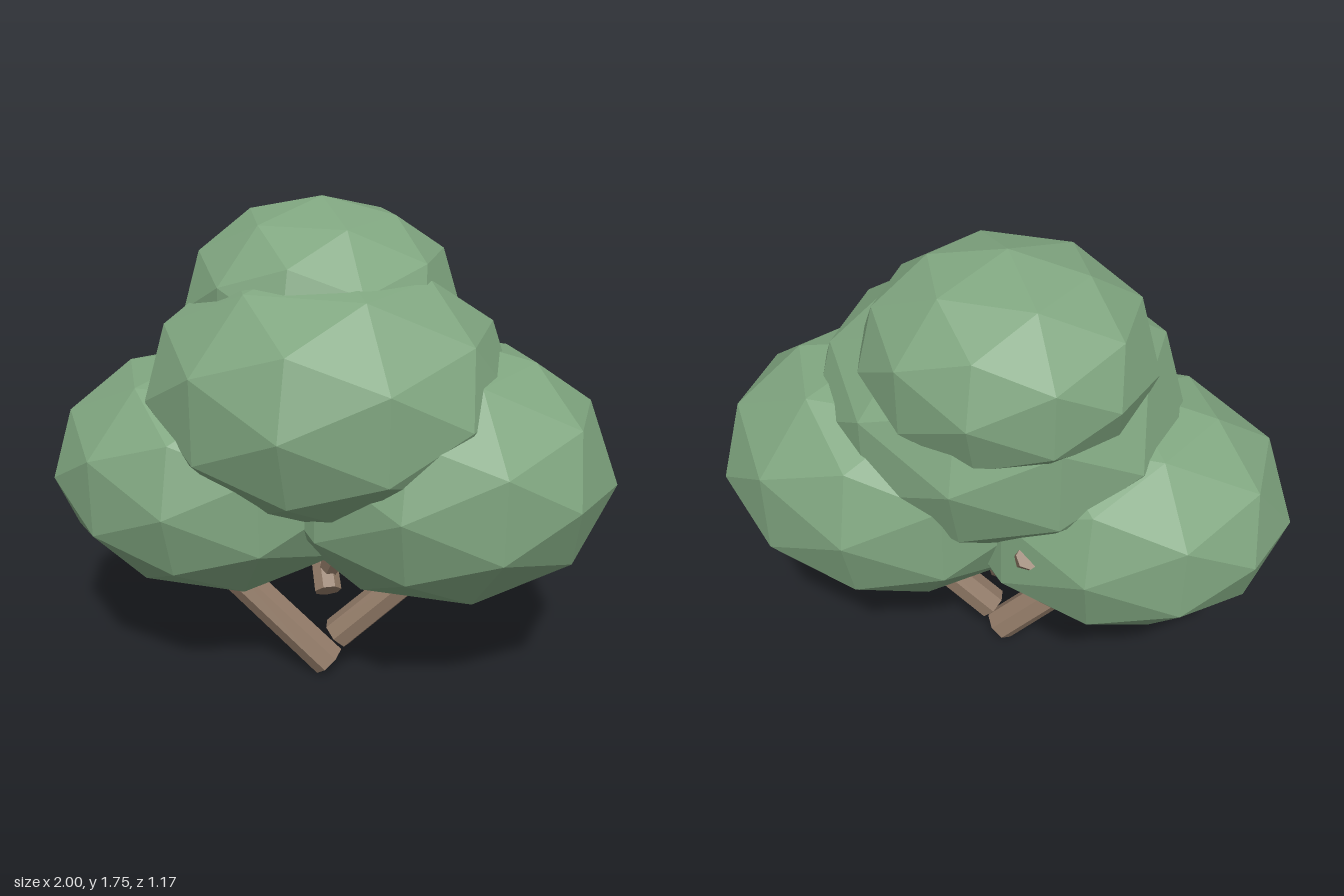
import * as THREE from 'three';

const foliageMat = new THREE.MeshStandardMaterial({ color: 0x80a680, flatShading: true });
foliageMat.name = 'leaf green';
const barkMat = new THREE.MeshStandardMaterial({ color: 0x917a67, flatShading: true });
barkMat.name = 'bark brown';

// Faceted ellipsoid of leaves
function foliage(name, centre, radii) {
  const geo = new THREE.IcosahedronGeometry(1, 1);
  geo.scale(...radii);
  geo.computeVertexNormals();
  const mesh = new THREE.Mesh(geo, foliageMat);
  mesh.name = name;
  mesh.position.set(...centre);
  return mesh;
}

// Seven-sided log running from one point to another
function branch(name, from, to, r0, r1) {
  const a = new THREE.Vector3(...from);
  const b = new THREE.Vector3(...to);
  const dir = b.clone().sub(a);
  const mesh = new THREE.Mesh(new THREE.CylinderGeometry(r1, r0, dir.length(), 7), barkMat);
  mesh.name = name;
  mesh.position.copy(a).add(b).multiplyScalar(0.5);
  mesh.quaternion.setFromUnitVectors(new THREE.Vector3(0, 1, 0), dir.normalize());
  return mesh;
}

export function createModel() {
  const tree = new THREE.Group();
  tree.name = 'tree';

  // Four overlapping leaf masses
  tree.add(
    foliage('rightFoliage', [-0.4, 0.8, 0.015], [0.6, 0.44, 0.505]),
    foliage('leftFoliage', [0.38, 0.86, -0.06], [0.62, 0.47, 0.525]),
    foliage('middleFoliage', [0.02, 1.13, 0.015], [0.645, 0.47, 0.57]),
    foliage('topFoliage', [-0.045, 1.4, -0.12], [0.485, 0.36, 0.45])
  );

  // Forking trunk and the smaller limbs above it
  tree.add(
    branch('trunk', [0.015, 0.05, -0.003], [-0.4, 0.465, 0.06], 0.066, 0.062),
    branch('leftBranch', [0.045, 0.165, -0.012], [0.42, 0.54, -0.07], 0.062, 0.058),
    branch('backBranch', [0.015, 0.35, 0.01], [-0.2, 0.83, -0.42], 0.05, 0.042),
    branch('frontBranch', [0.01, 0.43, -0.03], [0.18, 0.8, 0.18], 0.04, 0.035)
  );
  return tree;
}
